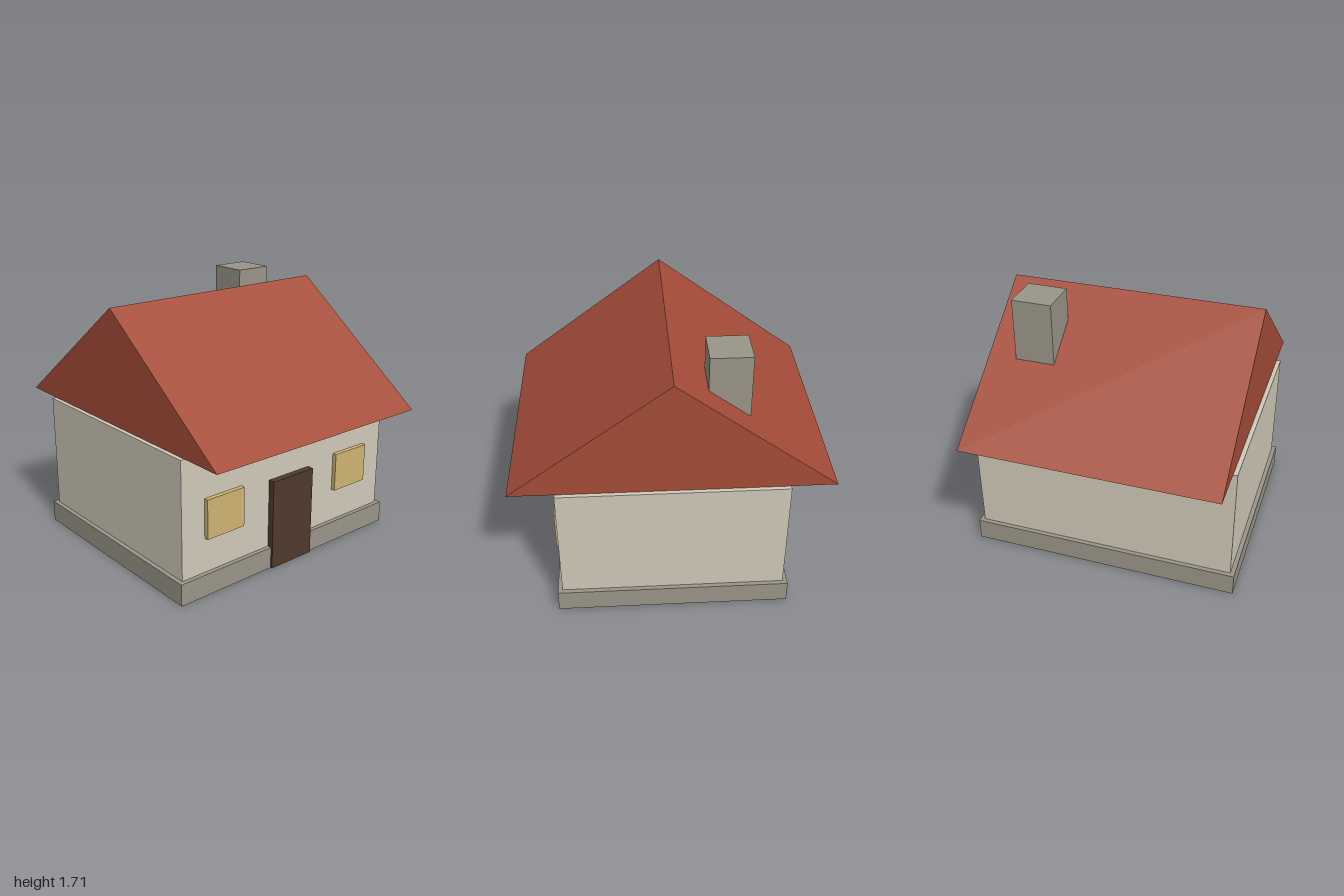
import * as THREE from 'three';

const material = (name, color) => {
  const m = new THREE.MeshStandardMaterial({ color });
  m.name = name;
  return m;
};

export function createModel() {
  const house = new THREE.Group();
  house.name = 'house';

  const stone = material('stone grey', 0x9a9588);
  const plaster = material('cream plaster', 0xd0c9b8);
  const tile = material('red tile', 0xa44c38);
  const wood = material('dark wood', 0x503a2d);
  const glass = material('yellow glass', 0xceb372);

  // Box given by its lower and upper corners
  const block = (name, mat, [x0, y0, z0], [x1, y1, z1]) => {
    const mesh = new THREE.Mesh(new THREE.BoxGeometry(x1 - x0, y1 - y0, z1 - z0), mat);
    mesh.position.set((x0 + x1) / 2, (y0 + y1) / 2, (z0 + z1) / 2);
    mesh.name = name;
    house.add(mesh);
  };

  // Body
  block('foundation', stone, [-0.886, 0, -0.743], [0.886, 0.143, 0.743]);
  block('walls', plaster, [-0.857, 0.143, -0.714], [0.857, 0.914, 0.714]);

  // Gabled roof: triangular section extruded along x
  const gable = new THREE.Shape([
    new THREE.Vector2(-1, 0.914),
    new THREE.Vector2(1, 0.914),
    new THREE.Vector2(0, 1.657),
  ]);
  const roofGeometry = new THREE.ExtrudeGeometry(gable, { depth: 1.658, bevelEnabled: false });
  roofGeometry.translate(0, 0, -0.829).rotateY(Math.PI / 2);
  const roof = new THREE.Mesh(roofGeometry, tile);
  roof.name = 'roof';
  house.add(roof);

  // Chimney on the rear slope
  block('chimney', stone, [0.386, 1.2, -0.471], [0.643, 1.714, -0.214]);

  // Door and windows on the front
  block('door', wood, [-0.171, 0, 0.7], [0.171, 0.6, 0.757]);
  block('leftWindow', glass, [0.4, 0.371, 0.7], [0.686, 0.629, 0.743]);
  block('rightWindow', glass, [-0.686, 0.371, 0.7], [-0.4, 0.629, 0.743]);

  return house;
}
